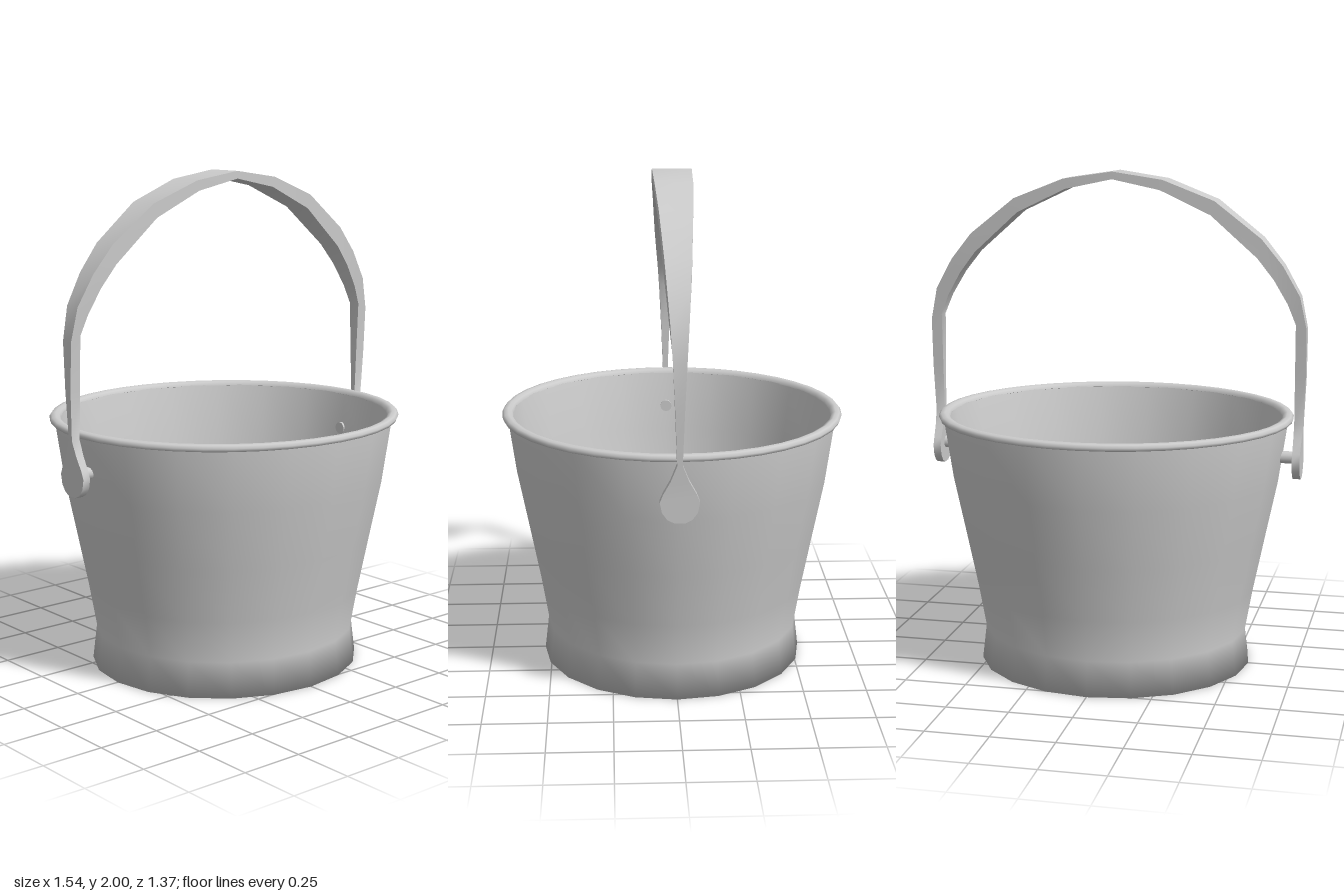
import * as THREE from 'three';
import { toCreasedNormals } from 'three/addons/utils/BufferGeometryUtils.js';

const material = new THREE.MeshStandardMaterial({ color: 0xcccccc });
const DEPTH = 0.953; // the bucket is slightly oval

function part(name, geometry) {
  const mesh = new THREE.Mesh(geometry, material);
  mesh.name = name;
  return mesh;
}

function ovalLathe(profile, segments) {
  const points = profile.map(([r, y]) => new THREE.Vector2(r, y));
  return new THREE.LatheGeometry(points, segments).scale(1, 1, DEPTH);
}

// Rectangular sections [outer x, outer y, inner x, inner y, half width], mirrored into an arch
function handleGeometry() {
  const half = [
    [0.758, 0.79, 0.727, 0.79, 0.02],
    [0.758, 0.803, 0.727, 0.803, 0.046],
    [0.758, 0.83, 0.727, 0.83, 0.066],
    [0.758, 0.87, 0.727, 0.87, 0.074],
    [0.758, 0.9, 0.727, 0.9, 0.062],
    [0.76, 0.95, 0.727, 0.95, 0.034],
    [0.763, 1.01, 0.727, 1.01, 0.01],
    [0.77, 1.2, 0.727, 1.2, 0.017],
    [0.77, 1.39, 0.727, 1.41, 0.026],
    [0.743, 1.52, 0.695, 1.49, 0.034],
    [0.675, 1.64, 0.64, 1.585, 0.043],
    [0.59, 1.745, 0.574, 1.67, 0.051],
    [0.405, 1.89, 0.39, 1.835, 0.064],
    [0.2, 1.97, 0.19, 1.93, 0.074],
  ];
  const mirrored = half.map(([xo, yo, xi, yi, w]) => [-xo, yo, -xi, yi, w]).reverse();
  const rows = [...half, [0, 2, 0, 1.97, 0.078], ...mirrored];

  const positions = [];
  const index = [];
  for (const [xo, yo, xi, yi, w] of rows) {
    positions.push(xo, yo, w, xo, yo, -w, xi, yi, -w, xi, yi, w);
  }
  const quad = (a, b, c, d) => index.push(a, b, c, a, c, d);
  for (let i = 0; i < rows.length - 1; i++) {
    for (let k = 0; k < 4; k++) {
      const a = i * 4 + k;
      const b = i * 4 + ((k + 1) % 4);
      quad(a, b, b + 4, a + 4);
    }
  }
  const end = (rows.length - 1) * 4;
  quad(0, 3, 2, 1);
  quad(end, end + 1, end + 2, end + 3);

  const geometry = new THREE.BufferGeometry();
  geometry.setAttribute('position', new THREE.Float32BufferAttribute(positions, 3));
  geometry.setIndex(index);
  return toCreasedNormals(geometry, 0.6);
}

export function createModel() {
  const model = new THREE.Group();
  model.name = 'bucket';

  // Thin-walled body: underside, outer wall, inner wall, floor
  model.add(part('body', ovalLathe([
    [0, 0], [0.557, 0], [0.54, 0.14], [0.57, 0.31], [0.615, 0.53],
    [0.665, 0.77], [0.702, 1.02],
    [0.68, 1.02], [0.645, 0.77], [0.595, 0.53], [0.55, 0.31],
    [0.522, 0.14], [0.535, 0.03], [0, 0.03],
  ], 20)));

  // Rolled lip
  model.add(part('rim', ovalLathe([
    [0.675, 1.018], [0.7, 1.008], [0.716, 1.012], [0.721, 1.024],
    [0.712, 1.035], [0.695, 1.038], [0.68, 1.032], [0.675, 1.018],
  ], 40)));

  model.add(part('handle', handleGeometry()));

  // Pivot pins between the wall and the handle ends
  for (const side of [1, -1]) {
    const pin = part(side > 0 ? 'leftPin' : 'rightPin', new THREE.CylinderGeometry(0.025, 0.025, 0.09, 12));
    pin.rotation.z = Math.PI / 2;
    pin.position.set(side * 0.695, 0.873, 0);
    model.add(pin);
  }
  return model;
}
